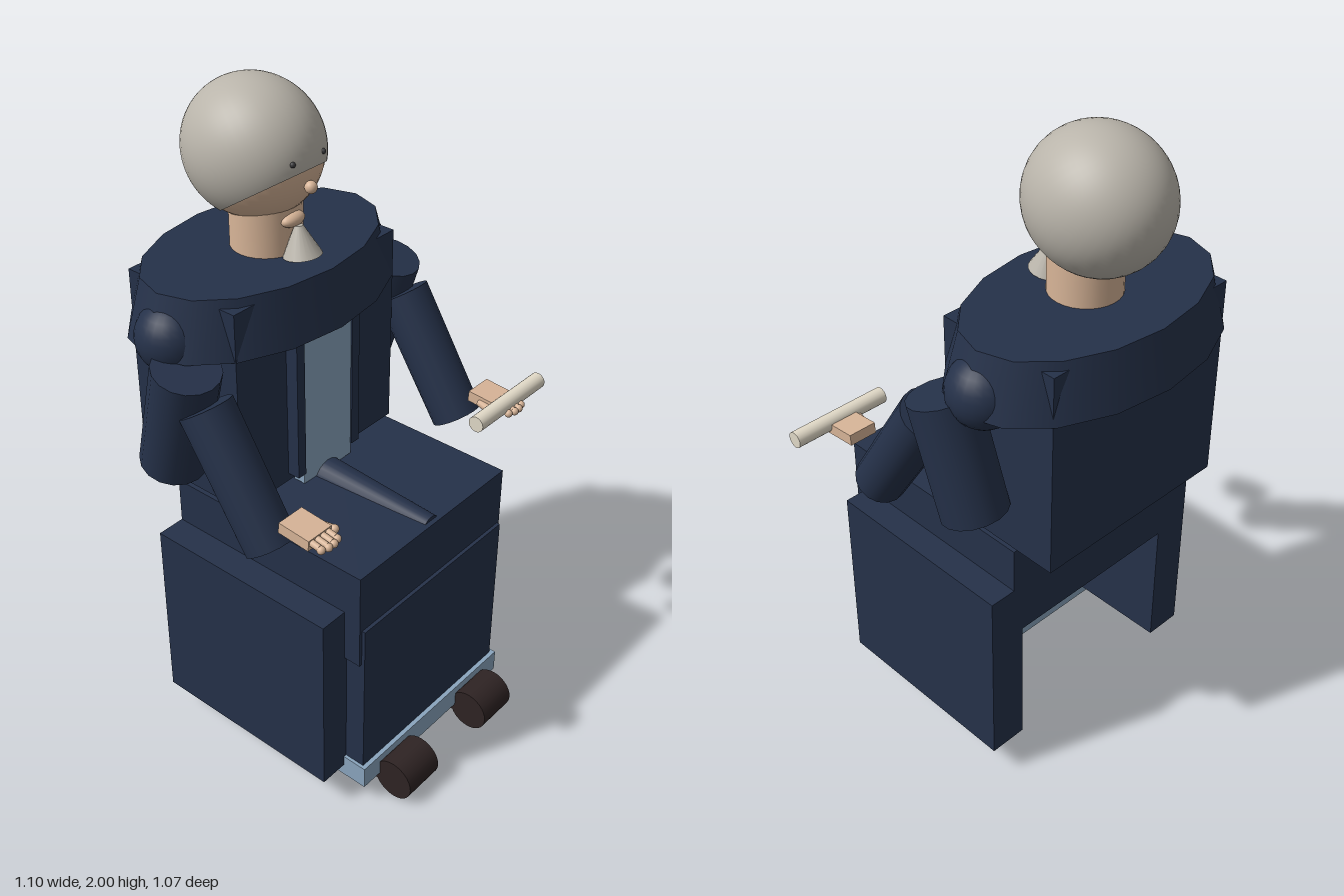
import * as THREE from 'three';

const mat = (name, color) => Object.assign(new THREE.MeshStandardMaterial({ color }), { name });

export function createModel() {
  const model = new THREE.Group();
  model.name = 'seatedElder';
  const navy = mat('navy cloth', 0x253149);
  const blue = mat('pale blue cloth', 0x8aa5be);
  const skin = mat('skin', 0xd8b598);
  const grey = mat('grey hair', 0xb9b4aa);
  const brown = mat('dark leather', 0x2e2323);
  const cream = mat('cream wood', 0xe2dac8);
  const dark = mat('eye dark', 0x3a3a3c);
  const CX = -0.03; // the body sits a little off centre

  const add = (name, geometry, material, parent = model) => {
    const mesh = new THREE.Mesh(geometry, material);
    mesh.name = name;
    parent.add(mesh);
    return mesh;
  };
  // Box from its lower and upper limits on each axis
  const box = (name, material, [x0, x1], [y0, y1], [z0, z1]) => {
    const mesh = add(name, new THREE.BoxGeometry(x1 - x0, y1 - y0, z1 - z0), material);
    mesh.position.set((x0 + x1) / 2, (y0 + y1) / 2, (z0 + z1) / 2);
    return mesh;
  };
  const ball = (name, material, r, x, y, z, sx = 1, sy = 1, sz = 1) => {
    const mesh = add(name, new THREE.SphereGeometry(r, 24, 16), material);
    mesh.position.set(x, y, z);
    mesh.scale.set(sx, sy, sz);
    return mesh;
  };
  // Cylinder between two points, r0 at the start and r1 at the end
  const rod = (name, material, from, to, r0, r1 = r0, sides = 20) => {
    const a = new THREE.Vector3(...from), b = new THREE.Vector3(...to);
    const mesh = add(name, new THREE.CylinderGeometry(r1, r0, a.distanceTo(b), sides), material);
    mesh.position.copy(a).add(b).multiplyScalar(0.5);
    mesh.quaternion.setFromUnitVectors(new THREE.Vector3(0, 1, 0), b.sub(a).normalize());
    return mesh;
  };

  // Lower body: lap, side panels, front skirt with pale hem
  box('lap', navy, [-0.36, 0.3], [0.535, 0.85], [-0.3, 0.395]);
  box('rightSidePanel', navy, [-0.45, -0.33], [0.1, 0.705], [-0.3, 0.34]);
  box('leftSidePanel', navy, [0.265, 0.385], [0.1, 0.705], [-0.3, 0.34]);
  box('skirtFront', navy, [-0.35, 0.29], [0.058, 0.66], [0.03, 0.406]);
  box('hem', blue, [-0.36, 0.303], [0.061, 0.135], [0.02, 0.42]);

  // Shoes: rounded toe with a flat sole behind
  for (const side of [-1, 1]) {
    const x = CX + side * 0.188;
    rod('shoeToe', brown, [x - 0.068, 0.066, 0.47], [x + 0.068, 0.066, 0.47], 0.066, 0.066, 28);
    box('shoeSole', brown, [x - 0.068, x + 0.068], [0.035, 0.09], [0.2, 0.47]);
  }

  // Torso with front band, lapels and hanging sash
  box('torso', navy, [-0.36, 0.3], [0.865, 1.5], [-0.44, -0.04]);
  box('frontBand', blue, [-0.135, 0.073], [0.853, 1.4], [-0.045, -0.005]);
  box('rightLapel', navy, [-0.165, -0.133], [0.89, 1.4], [-0.05, 0]);
  box('leftLapel', navy, [0.071, 0.103], [0.89, 1.4], [-0.05, 0]);
  rod('sash', navy, [CX, 0.825, -0.22], [CX, 0.825, 0.38], 0.07, 0.037);

  // Shoulder cape: faceted oval
  const capeGeometry = new THREE.CylinderGeometry(0.885, 1, 0.17, 16);
  capeGeometry.scale(0.46, 1, 0.293);
  add('cape', capeGeometry, navy).position.set(CX, 1.44, -0.245);

  // Arms
  for (const side of [-1, 1]) {
    const at = (offset, y, z) => [CX + side * offset, y, z];
    ball('shoulder', navy, 0.105, ...at(0.37, 1.385, -0.235));
    rod('upperArm', navy, at(0.425, 1.347, -0.13), at(0.405, 1.0, -0.228), 0.098, 0.098, 16);
    rod('forearm', navy, at(0.42, 1.25, -0.07), at(0.42, 0.9, 0.155), 0.08, 0.077, 16);

    // Hand: palm, four curled fingers and an inner thumb
    const hx = CX + side * 0.419;
    box('palm', skin, [hx - 0.045, hx + 0.045], [1.0, 1.034], [0.225, 0.33]).rotation.x = 0.08;
    for (let i = 0; i < 4; i++) {
      const fx = hx + (i - 1.5) * 0.021;
      const reach = i === 0 || i === 3 ? 0.357 : 0.364;
      rod('finger', skin, [fx, 1.02, 0.31], [fx, 1.013, reach], 0.011, 0.01, 10);
      ball('fingertip', skin, 0.012, fx, 1.01, reach + 0.005);
    }
    const tx = hx - side * 0.052;
    rod('thumb', skin, [tx + side * 0.012, 1.012, 0.265], [tx - side * 0.006, 1.01, 0.325], 0.013, 0.011, 10);
    ball('thumbTip', skin, 0.013, tx - side * 0.006, 1.01, 0.33);
  }
  rod('staff', cream, [0.23, 1.024, 0.335], [0.548, 1.024, 0.335], 0.025);

  // Neck and head
  rod('neck', skin, [CX, 1.5, -0.23], [CX, 1.66, -0.23], 0.104, 0.104, 28);
  const head = new THREE.Group();
  head.name = 'head';
  head.position.set(CX, 1.8, -0.268);
  head.scale.set(0.19, 0.2, 0.209);
  model.add(head);
  add('face', new THREE.SphereGeometry(0.975, 40, 28), skin, head);
  const hairGeometry = new THREE.SphereGeometry(1, 40, 28, 0, Math.PI * 2, 0, 2.2);
  hairGeometry.rotateX(-0.6); // hairline drops towards the nape
  hair(hairGeometry);
  function hair(geometry) {
    const cap = add('hair', geometry, grey, head);
    cap.material.side = THREE.DoubleSide;
  }

  // Facial features
  ball('nose', skin, 0.018, CX, 1.74, -0.062);
  ball('mouth', skin, 0.042, CX, 1.627, -0.13, 1, 0.5, 0.6);
  for (const side of [-1, 1]) ball('eye', dark, 0.008, CX + side * 0.06, 1.82, -0.071);
  rod('beard', grey, [CX, 1.53, -0.095], [CX, 1.615, -0.108], 0.056, 0.012, 20);

  return model;
}
